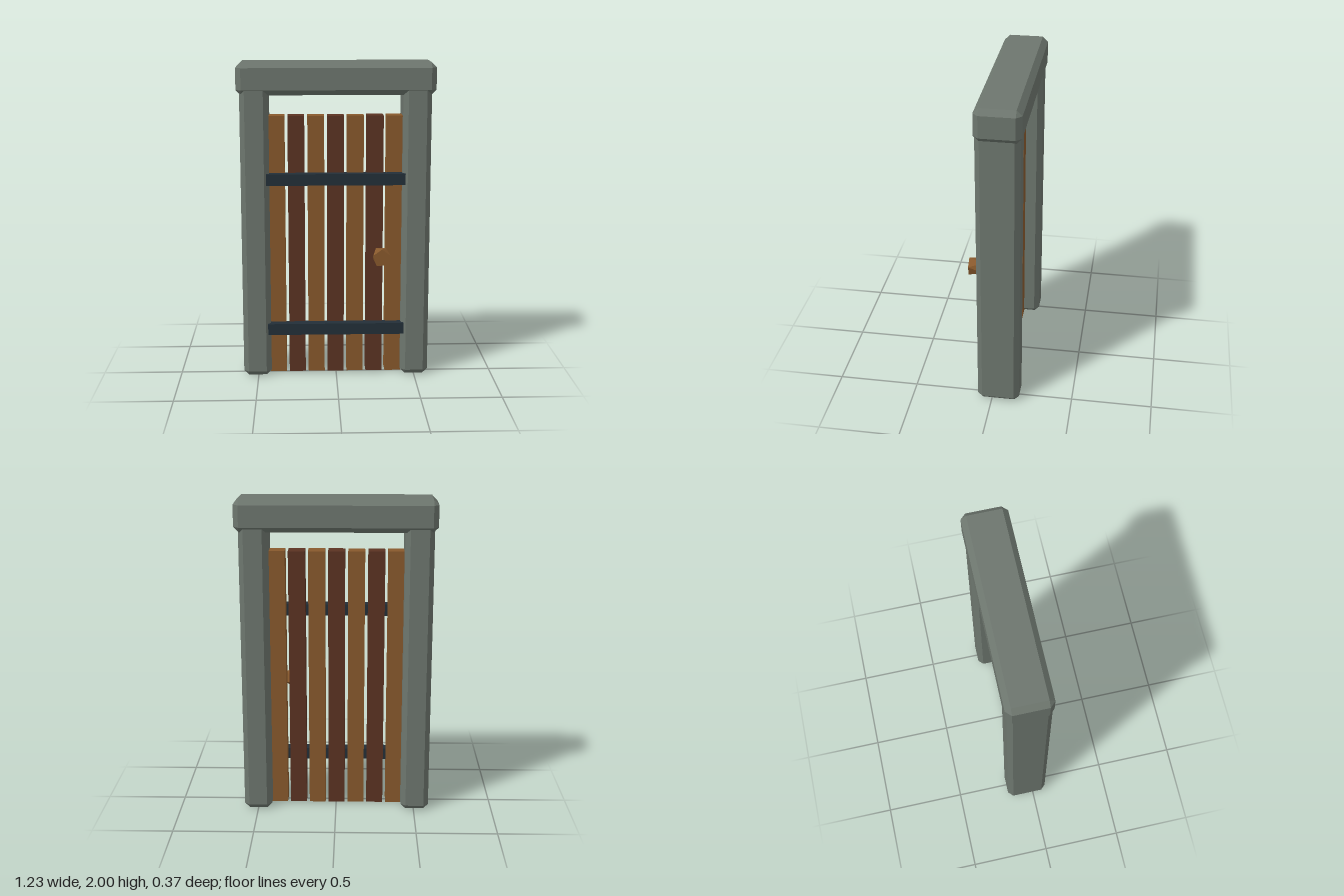
import * as THREE from 'three';
import { ConvexGeometry } from 'three/addons/geometries/ConvexGeometry.js';

const paint = (name, color) => {
  const m = new THREE.MeshStandardMaterial({ color });
  m.name = name;
  return m;
};

// Box between two corners with every edge cut at 45 degrees
function chamferBox([x0, y0, z0], [x1, y1, z1], c) {
  const half = new THREE.Vector3(x1 - x0, y1 - y0, z1 - z0).multiplyScalar(0.5);
  const points = [];
  for (const sx of [-1, 1]) for (const sy of [-1, 1]) for (const sz of [-1, 1]) {
    for (const axis of ['x', 'y', 'z']) {
      const p = half.clone().subScalar(c);
      p[axis] = half[axis];
      points.push(p.multiply(new THREE.Vector3(sx, sy, sz)));
    }
  }
  return new ConvexGeometry(points).translate((x0 + x1) / 2, (y0 + y1) / 2, (z0 + z1) / 2);
}

function box([x0, y0, z0], [x1, y1, z1]) {
  return new THREE.BoxGeometry(x1 - x0, y1 - y0, z1 - z0)
    .translate((x0 + x1) / 2, (y0 + y1) / 2, (z0 + z1) / 2);
}

// Five-sided knob: two rings turned against each other, tapering to a point behind
function knobGeometry(x, y) {
  const points = [new THREE.Vector3(x, y, 0.02)];
  for (const [z, r, turn] of [[0.183, 0.057, 0.5], [0.09, 0.054, 0.3]]) {
    for (let i = 0; i < 5; i++) {
      const a = Math.PI * (turn + i * 0.4);
      points.push(new THREE.Vector3(x + r * Math.cos(a), y + r * Math.sin(a), z));
    }
  }
  return new ConvexGeometry(points);
}

export function createModel() {
  const group = new THREE.Group();
  group.name = 'door';
  const stone = paint('grey stone', 0x6d766e);
  const lightWood = paint('light wood', 0x88592c);
  const darkWood = paint('dark wood', 0x5b3322);
  const iron = paint('dark iron', 0x232f38);

  const add = (name, geometry, material) => {
    const mesh = new THREE.Mesh(geometry, material);
    mesh.name = name;
    group.add(mesh);
  };

  // Stone frame
  add('lintel', chamferBox([-0.615, 1.8, -0.183], [0.615, 2, 0.093], 0.033), stone);
  add('rightPost', chamferBox([-0.594, 0, -0.172], [-0.417, 1.88, 0.09], 0.031), stone);
  add('leftPost', chamferBox([0.412, 0, -0.172], [0.588, 1.88, 0.09], 0.031), stone);

  // Planks in alternating wood
  for (let i = 0; i < 7; i++) {
    const x = -0.003 + (i - 3) * 0.123;
    add('plank' + (i + 1), box([x - 0.052, 0.01, -0.07], [x + 0.052, 1.67, 0.03]),
      i % 2 ? darkWood : lightWood);
  }

  // Iron straps across the planks
  add('lowerStrap', box([-0.435, 0.275, 0.02], [0.43, 0.347, 0.088]), iron);
  add('upperStrap', box([-0.435, 1.243, 0.02], [0.43, 1.315, 0.088]), iron);

  add('knob', knobGeometry(0.28, 0.798), lightWood);
  return group;
}
